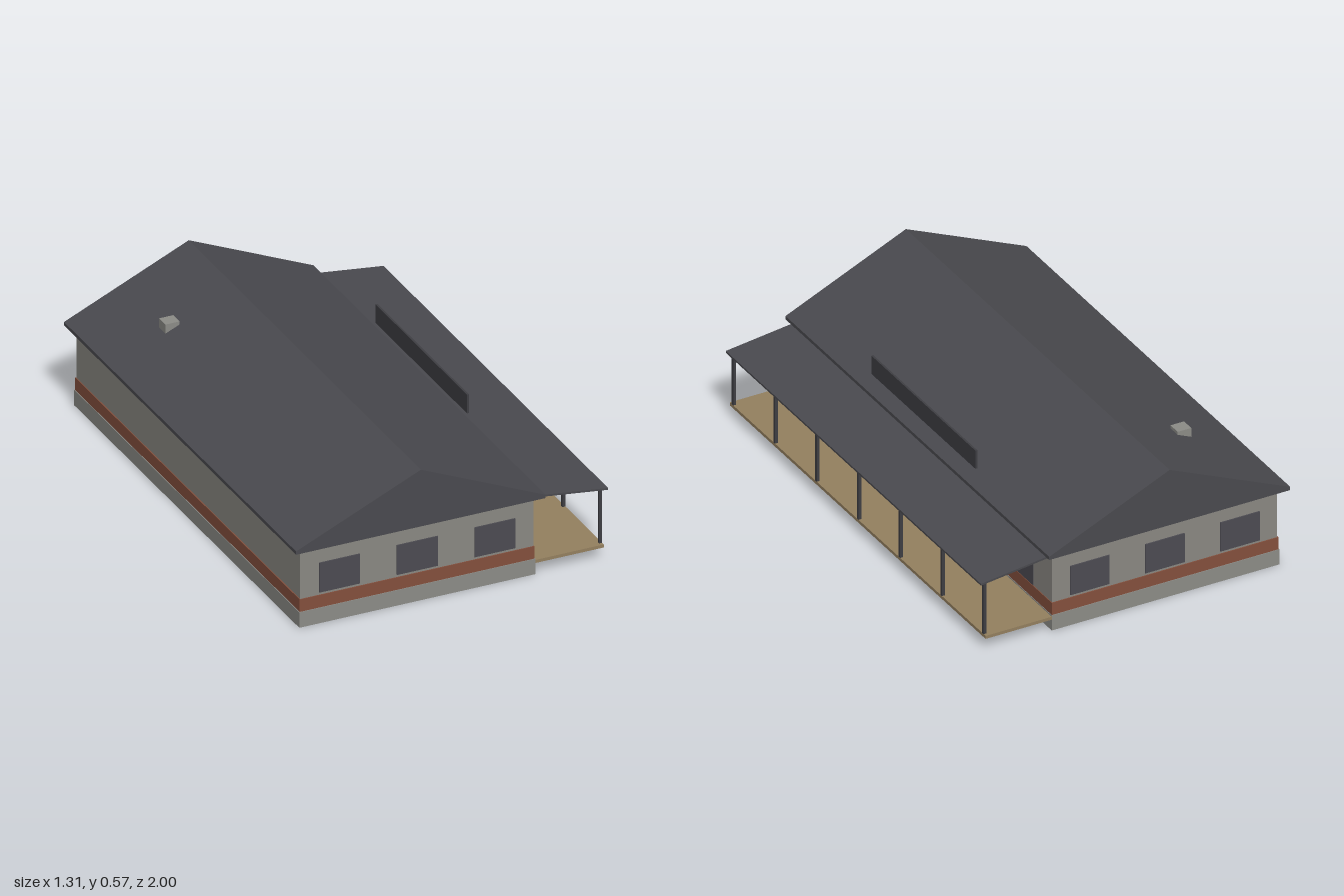
import * as THREE from 'three';

const mat = (name, color) => {
  const m = new THREE.MeshStandardMaterial({ color });
  m.name = name;
  return m;
};

export function createModel() {
  const house = new THREE.Group();
  house.name = 'house';
  const roofGrey = mat('roof grey', 0x4a4a4f);
  const wallGrey = mat('wall grey', 0x8a8882);
  const concrete = mat('concrete', 0x8c8c87);
  const brick = mat('brick red', 0x84503d);
  const deckTan = mat('deck tan', 0x94805f);
  const glass = mat('window grey', 0x4c4b52);
  const steel = mat('post grey', 0x3e3e43);

  // Box given by its extents on each axis
  const box = (name, material, [x0, x1], [y0, y1], [z0, z1]) => {
    const mesh = new THREE.Mesh(new THREE.BoxGeometry(x1 - x0, y1 - y0, z1 - z0), material);
    mesh.position.set((x0 + x1) / 2, (y0 + y1) / 2, (z0 + z1) / 2);
    mesh.name = name;
    house.add(mesh);
    return mesh;
  };

  // Profile in x and y, extruded along z
  const prism = (name, material, points, z0, z1) => {
    const shape = new THREE.Shape(points.map(([x, y]) => new THREE.Vector2(x, y)));
    const mesh = new THREE.Mesh(
      new THREE.ExtrudeGeometry(shape, { depth: z1 - z0, bevelEnabled: false }), material);
    mesh.position.z = z0;
    mesh.name = name;
    house.add(mesh);
  };

  // Body in three bands
  box('foundation', concrete, [-0.625, 0.35], [0, 0.065], [-0.97, 0.97]);
  box('brickBand', brick, [-0.622, 0.348], [0.065, 0.117], [-0.967, 0.967]);
  box('walls', wallGrey, [-0.618, 0.345], [0.117, 0.332], [-0.963, 0.963]);

  // Gable roof and chimney
  prism('mainRoof', roofGrey,
    [[-0.653, 0.33], [0.378, 0.33], [0.378, 0.344], [-0.137, 0.57], [-0.653, 0.344]], -1, 1);
  box('chimney', concrete, [-0.43, -0.372], [0.4, 0.48], [-0.645, -0.59]);

  // Board standing above the porch roof
  box('roofBoard', steel, [0.344, 0.352], [0.402, 0.481], [-0.395, 0.395]);

  // Three windows on each gable end
  for (const x of [-0.457, -0.136, 0.185])
    for (const side of [-1, 1])
      box('endWindow', glass, [x - 0.084, x + 0.084], [0.128, 0.253],
        [side * 0.965 - 0.003, side * 0.965 + 0.003]);

  // Porch side windows, door and the panel above it
  for (const z of [-0.703, -0.393, 0.393, 0.703])
    box('sideWindow', glass, [0.343, 0.347], [0.118, 0.288], [z - 0.12, z + 0.12]);
  box('door', glass, [0.343, 0.3505], [0.065, 0.255], [-0.08, 0.08]);
  box('doorPanel', steel, [0.343, 0.349], [0.255, 0.305], [-0.182, 0.182]);

  // Porch deck, sloping roof and posts
  box('porchDeck', deckTan, [0.35, 0.633], [0.047, 0.06], [-0.97, 0.97]);
  prism('porchRoof', roofGrey,
    [[0.345, 0.322], [0.653, 0.284], [0.653, 0.292], [0.345, 0.33]], -0.97, 0.965);
  for (let i = -3; i <= 3; i++) {
    const z = i * 0.3165;
    box('porchPost', steel, [0.621, 0.633], [0.06, 0.287], [z - 0.006, z + 0.006]);
  }
  return house;
}
